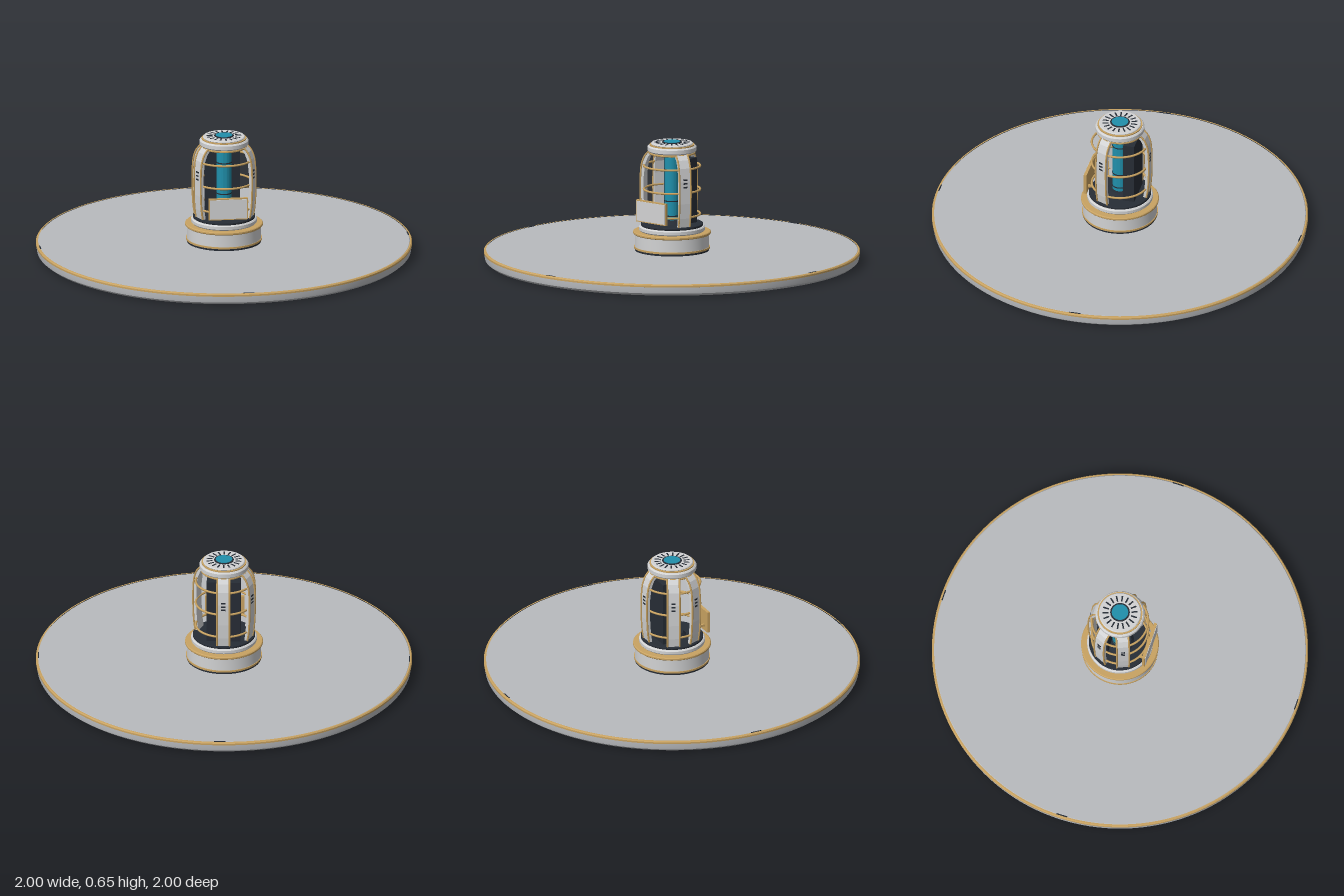
import * as THREE from 'three';
import { toCreasedNormals } from 'three/addons/utils/BufferGeometryUtils.js';

const mat = (name, color) => new THREE.MeshStandardMaterial({ name, color });

export function createModel() {
  const model = new THREE.Group();
  model.name = 'displayTower';
  const grey = mat('floor grey', 0xb9bbbe);
  const pale = mat('pale shell', 0xd2d3d4);
  const gold = mat('brass trim', 0xc9a362);
  const dark = mat('charcoal', 0x272d36);
  const cyan = mat('teal glow', 0x2090ac);

  const add = (name, geo, material, parent = model, x = 0, y = 0, z = 0) => {
    const mesh = new THREE.Mesh(geo, material);
    mesh.name = name;
    mesh.position.set(x, y, z);
    parent.add(mesh);
    return mesh;
  };
  // Solid of revolution with sharp corners; points run from bottom to top
  const turned = (name, pts, material, segments = 64) => add(name, toCreasedNormals(
    new THREE.LatheGeometry(pts.map(p => new THREE.Vector2(...p)), segments), 0.5), material);
  const drum = (name, r, y0, y1, material, bevel = 0) => turned(name, [
    [0, y0], [r - bevel, y0], [r, y0 + bevel], [r, y1 - bevel], [r - bevel, y1], [0, y1],
  ].filter((p, i, a) => !i || p[0] !== a[i - 1][0] || p[1] !== a[i - 1][1]), material);
  const hoop = (name, r, tube, y, material) => {
    const geo = new THREE.TorusGeometry(r, tube, 8, 64);
    geo.rotateX(Math.PI / 2);
    return add(name, geo, material, model, 0, y, 0);
  };

  // Broad round floor with a rounded lower edge and a brass rim
  turned('floorDisc', [[0, 0], [0.955, 0], [0.98, 0.006], [0.994, 0.018], [0.996, 0.03],
    [0.996, 0.055], [0.985, 0.066], [0, 0.066]], grey, 128);
  turned('floorRim', [[0.99, 0.05], [1, 0.052], [1, 0.061], [0.995, 0.067], [0.988, 0.067]], gold, 128);
  for (let i = 0; i < 4; i++) {
    const tick = new THREE.Group();
    tick.name = 'rimMarker';
    tick.rotation.y = i * Math.PI / 2;
    add('rimMarkerPlate', new THREE.BoxGeometry(0.06, 0.003, 0.006), dark, tick, 0, 0.067, 0.986);
    model.add(tick);
  }

  // Stepped pedestal
  drum('pedestalFoot', 0.198, 0.066, 0.082, dark);
  drum('pedestalFootTrim', 0.202, 0.077, 0.087, gold);
  drum('pedestal', 0.198, 0.087, 0.156, pale);
  drum('pedestalTopTrim', 0.207, 0.154, 0.17, gold, 0.004);
  drum('upperStep', 0.175, 0.17, 0.198, pale, 0.006);
  drum('cageSeat', 0.166, 0.198, 0.212, dark, 0.003);

  // Glowing core with dark collars and a housing behind it
  drum('core', 0.04, 0.21, 0.59, cyan);
  for (const y of [0.25, 0.33, 0.5]) drum('coreCollar', 0.0415, y, y + 0.006, dark);
  add('coreFoot', new THREE.CylinderGeometry(0.06, 0.075, 0.02, 48), dark, model, 0, 0.222, 0);
  add('coreHousing', new THREE.BoxGeometry(0.18, 0.35, 0.06), dark, model, 0, 0.387, -0.07);

  // Brass cage hoops
  for (const y of [0.262, 0.395, 0.522]) hoop('cageHoop', 0.15, 0.006, y, gold);

  // Curved cage ribs, each with brass edges and three vents
  const outer = [[0.152, 0.208], [0.16, 0.26], [0.165, 0.34], [0.165, 0.46], [0.158, 0.53], [0.142, 0.572], [0.12, 0.598]];
  const width = 0.066;
  const ribShape = new THREE.Shape([
    ...outer, ...outer.slice().reverse().map(([r, y]) => [r - 0.018, y - (y > 0.5 ? 0.006 : 0)]),
  ].map(p => new THREE.Vector2(...p)));
  const ribGeo = new THREE.ExtrudeGeometry(ribShape, { depth: width, bevelEnabled: false });
  ribGeo.translate(0, 0, -width / 2);
  ribGeo.rotateY(-Math.PI / 2);
  for (const degrees of [66, 180, 246, 294]) {
    const rib = new THREE.Group();
    rib.name = 'cageRib';
    rib.rotation.y = THREE.MathUtils.degToRad(degrees);
    add('ribShell', ribGeo, pale, rib);
    for (const side of [-1, 1]) {
      const path = new THREE.CatmullRomCurve3(outer.map(([r, y]) =>
        new THREE.Vector3(side * width / 2, y, r)));
      add('ribEdge', new THREE.TubeGeometry(path, 24, 0.005, 6), gold, rib);
    }
    for (const y of [0.43, 0.45, 0.47]) {
      add('ribVent', new THREE.BoxGeometry(0.022, 0.008, 0.006), dark, rib, 0, y, 0.164);
    }
    model.add(rib);
  }

  // Front panel: pale plate in a brass frame
  add('panelFrame', new THREE.BoxGeometry(0.21, 0.118, 0.016), gold, model, 0, 0.29, 0.165);
  add('panelFace', new THREE.BoxGeometry(0.198, 0.106, 0.006), pale, model, 0, 0.29, 0.173);
  for (const side of [-1, 1]) {
    add('panelBracket', new THREE.BoxGeometry(0.012, 0.012, 0.03), gold, model, side * 0.07, 0.262, 0.148);
  }

  // Cap
  drum('capLowerTrim', 0.124, 0.586, 0.598, gold, 0.003);
  drum('cap', 0.13, 0.598, 0.632, pale, 0.007);
  drum('capUpperTrim', 0.119, 0.63, 0.638, gold);
  drum('capLid', 0.112, 0.636, 0.647, pale, 0.004);
  drum('lensCollar', 0.052, 0.645, 0.651, dark);
  drum('lens', 0.044, 0.65, 0.653, cyan);

  // Radial slits around the lens
  for (let i = 0; i < 18; i++) {
    const slit = new THREE.Group();
    slit.name = 'capSlit';
    slit.rotation.y = i * Math.PI / 9;
    add('capSlitPlate', new THREE.BoxGeometry(0.008, 0.003, 0.032), dark, slit, 0, 0.647, 0.078);
    model.add(slit);
  }
  return model;
}
